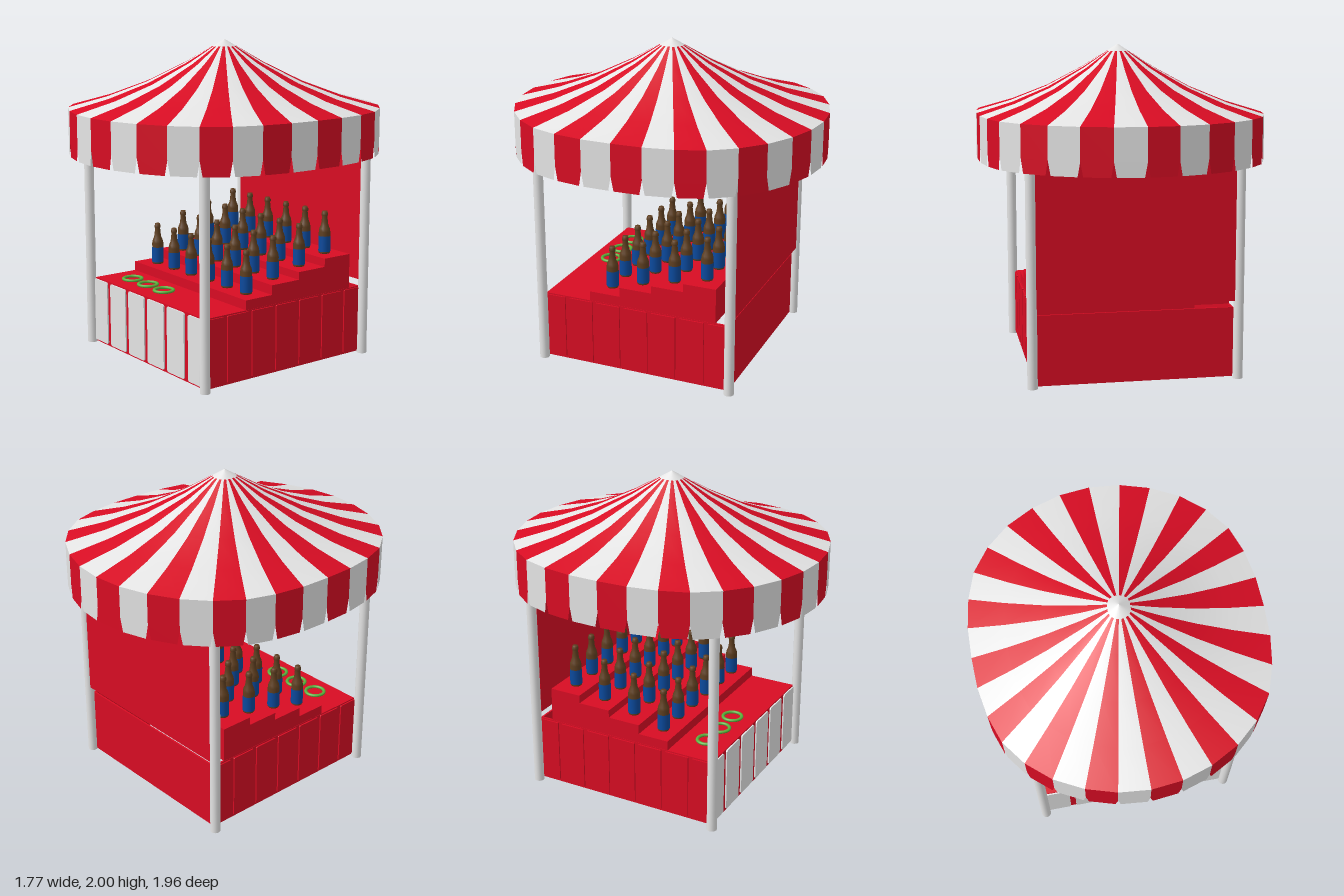
import * as THREE from 'three';

const mat = (name, color, side = THREE.FrontSide) => {
  const m = new THREE.MeshStandardMaterial({ color, side });
  m.name = name;
  return m;
};

export function createModel() {
  const red = mat('red', 0xd80c23), white = mat('white', 0xe4e4e4);
  const redCloth = mat('red cloth', 0xd80c23, THREE.DoubleSide);
  const whiteCloth = mat('white cloth', 0xe4e4e4, THREE.DoubleSide);
  const brown = mat('brown glass', 0x5f3f20), blue = mat('blue label', 0x0b4a9e);
  const green = mat('green', 0x5cb03c);

  const model = new THREE.Group();
  model.name = 'bottleTossStall';
  const add = (name, geo, material, x = 0, y = 0, z = 0, parent = model) => {
    const mesh = new THREE.Mesh(geo, material);
    mesh.name = name;
    mesh.position.set(x, y, z);
    parent.add(mesh);
    return mesh;
  };
  const box = (name, w, h, d, x, y, z) => add(name, new THREE.BoxGeometry(w, h, d), red, x, y, z);

  // Canopy rim: 32 corners, a circle slightly squeezed at the sides
  const N = 32;
  const rimX = [0, 0.188, 0.369, 0.54, 0.68, 0.788, 0.846, 0.877, 0.883];
  const rim = i => {
    const k = ((i % N) + N) % N;
    const fold = k % 16 > 8 ? 16 - (k % 16) : k % 16;
    return [rimX[fold] * (k > 16 ? -1 : 1), 0.979 * Math.cos((k / N) * Math.PI * 2)];
  };

  // Geometry with one group per stripe colour; even panels red, odd white
  const striped = (name, positions, redIdx, whiteIdx) => {
    const g = new THREE.BufferGeometry();
    g.setAttribute('position', new THREE.Float32BufferAttribute(positions, 3));
    g.setIndex([...redIdx, ...whiteIdx]);
    g.addGroup(0, redIdx.length, 0);
    g.addGroup(redIdx.length, whiteIdx.length, 1);
    g.computeVertexNormals();
    return add(name, g, [redCloth, whiteCloth]);
  };

  // Swept canopy roof with a white tip
  const profile = [[0, 2], [0.075, 1.957], [0.25, 1.857], [0.5, 1.737], [0.75, 1.647], [1, 1.58]];
  const roofPos = [], roofIdx = [[], []];
  for (const [t, y] of profile)
    for (let i = 0; i < N; i++) {
      const [x, z] = rim(i);
      roofPos.push(x * t, y, z * t);
    }
  for (let r = 0; r < profile.length - 1; r++)
    for (let i = 0; i < N; i++) {
      const j = (i + 1) % N, a = r * N + i, b = r * N + j, c = a + N, d = b + N;
      const out = roofIdx[r === 0 ? 1 : i % 2];
      out.push(a, c, d);
      if (r > 0) out.push(a, d, b);
    }
  striped('canopyRoof', roofPos, ...roofIdx);

  // Hanging valance, each flap narrowing at its lower end
  const valPos = [], valIdx = [[], []];
  for (let i = 0; i < N; i++) {
    const [ax, az] = rim(i), [bx, bz] = rim(i + 1), o = i * 6;
    for (const [y, inset] of [[1.58, 0], [1.385, 0], [1.297, 0.085]])
      for (const t of [inset, 1 - inset])
        valPos.push(ax + (bx - ax) * t, y, az + (bz - az) * t);
    for (const q of [o, o + 2]) valIdx[i % 2].push(q, q + 2, q + 3, q, q + 3, q + 1);
  }
  striped('canopyValance', valPos, ...valIdx);

  // Flat ceiling inside the canopy
  const ceiling = new THREE.Shape(Array.from({ length: N }, (_, i) => {
    const [x, z] = rim(i);
    return new THREE.Vector2(x * 0.995, z * 0.995);
  }));
  add('canopyCeiling', new THREE.ShapeGeometry(ceiling).rotateX(Math.PI / 2), whiteCloth, 0, 1.395, 0);

  // Corner poles
  for (const x of [-0.63, 0.622])
    for (const z of [-0.637, 0.618])
      add('pole', new THREE.CylinderGeometry(0.031, 0.031, 1.395, 16), white, x, 0.6975, z);

  // Counter front and stepped display, hollow underneath: one section given as [z, y]
  const section = [
    [0.6, 0.008], [0.6, 0.44], [0.296, 0.44], [0.296, 0.5], [0.095, 0.5], [0.095, 0.56],
    [-0.117, 0.56], [-0.117, 0.608], [-0.328, 0.608], [-0.328, 0.66], [-0.537, 0.66],
    [-0.537, 0.44], [0.1, 0.44], [0.1, 0.32], [0.31, 0.32], [0.31, 0.008],
  ];
  const shape = new THREE.Shape(section.map(([z, y]) => new THREE.Vector2(-z, y)));
  const steps = new THREE.ExtrudeGeometry(shape, { depth: 1.196, bevelEnabled: false });
  add('counterAndSteps', steps.rotateY(Math.PI / 2), red, -0.598, 0, 0);
  for (const s of [-1, 1]) box('counterSide', 0.012, 0.432, 1.224, s * 0.594, 0.224, -0.012);
  box('counterBack', 1.2, 0.432, 0.012, 0, 0.224, -0.618);
  box('backWall', 1.22, 0.91, 0.04, 0, 0.94, -0.632);

  // Facing panels with slightly chamfered corners
  const panel = (w, h, c) => {
    const x = w / 2, y = h / 2;
    const pts = [[-x + c, -y], [x - c, -y], [x, -y + c], [x, y - c], [x - c, y], [-x + c, y], [-x, y - c], [-x, -y + c]];
    return new THREE.ExtrudeGeometry(
      new THREE.Shape(pts.map(p => new THREE.Vector2(...p))), { depth: 0.009, bevelEnabled: false });
  };
  const frontX = [-0.53, -0.327, -0.115, 0.098, 0.31, 0.517];
  frontX.forEach((x, i) => add('frontPanel', panel(i % 5 ? 0.177 : 0.155, 0.412, 0.009), white, x, 0.226, 0.6));
  for (const s of [-1, 1])
    for (let i = 0; i < 7; i++) {
      const edge = i % 6 === 0;
      const z = edge ? (i ? -0.555 : 0.533) : 0.546 - i * 0.186;
      const p = add('sidePanel', panel(edge ? 0.13 : 0.16, 0.412, 0.003), red, s * 0.6, 0.226, z);
      p.rotation.y = s * Math.PI / 2;
    }

  // Bottles in four rows of six
  const glass = new THREE.LatheGeometry(
    [[0, 0], [0.034, 0], [0.037, 0.006], [0.037, 0.14], [0.033, 0.16], [0.024, 0.18], [0.02, 0.205],
      [0.017, 0.24], [0.021, 0.243], [0.021, 0.257], [0.017, 0.26], [0.017, 0.27], [0, 0.27]]
      .map(p => new THREE.Vector2(...p)), 14);
  const label = new THREE.CylinderGeometry(0.0385, 0.0385, 0.1, 14, 1, true);
  const rows = [[0.198, 0.5], [-0.01, 0.56], [-0.221, 0.608], [-0.433, 0.66]];
  for (const [z, y] of rows)
    for (let i = 0; i < 6; i++) {
      const bottle = new THREE.Group();
      bottle.name = 'bottle';
      bottle.position.set((i - 2.5) * 0.189 + 0.003, y, z);
      add('bottleGlass', glass, brown, 0, 0, 0, bottle);
      add('bottleLabel', label, blue, 0, 0.062, 0, bottle);
      model.add(bottle);
    }

  // Throwing rings on the counter
  const ring = new THREE.TorusGeometry(0.06, 0.011, 8, 28).rotateX(Math.PI / 2).scale(1, 0.85, 1);
  for (const x of [-0.383, -0.207, -0.03]) add('throwingRing', ring, green, x, 0.453, 0.455);

  return model;
}
